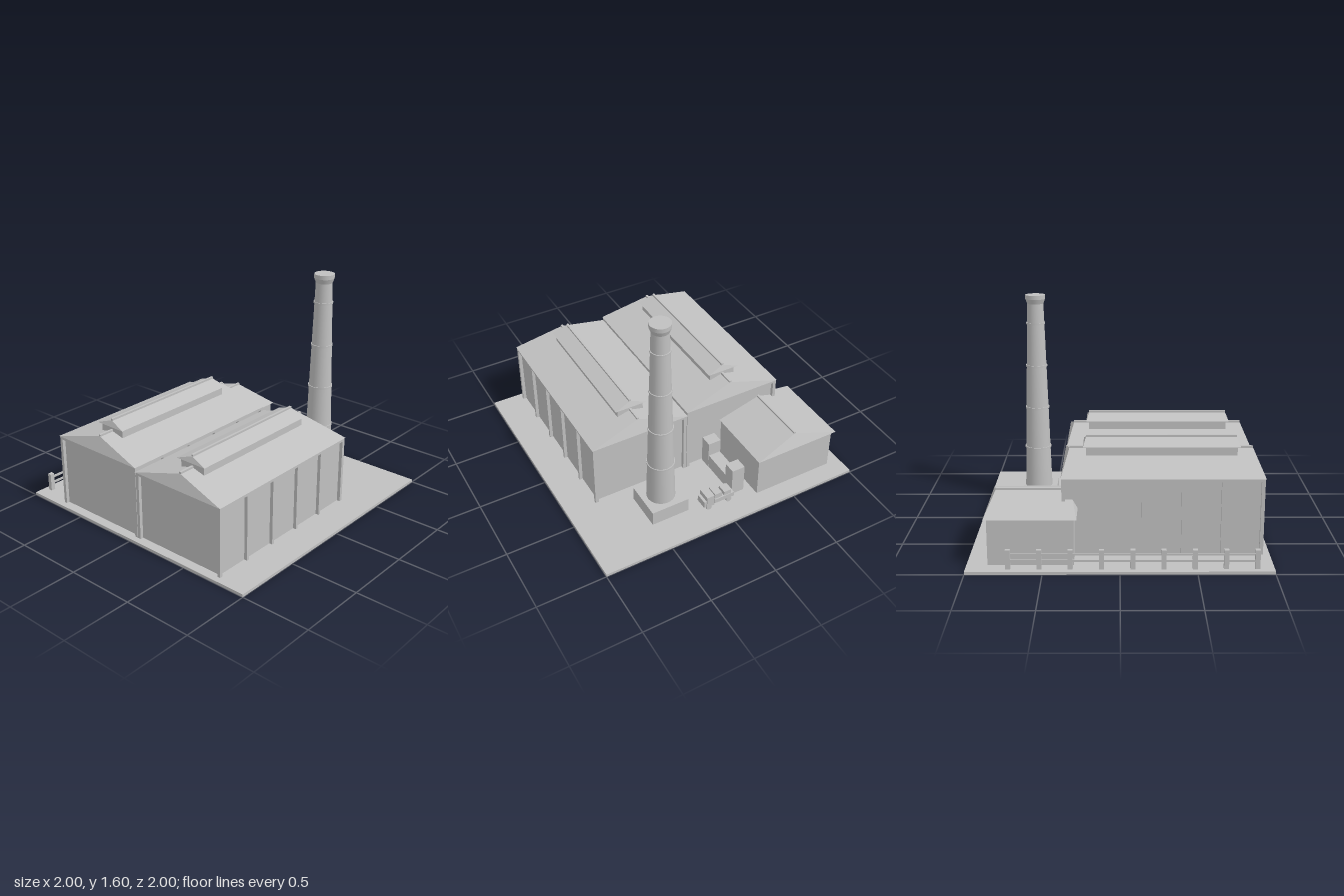
import * as THREE from 'three';

const grey = new THREE.MeshStandardMaterial({ color: 0xc0c0c0 });
grey.name = 'plain grey';

function add(parent, name, geometry) {
  const mesh = new THREE.Mesh(geometry, grey);
  mesh.name = name;
  parent.add(mesh);
  return mesh;
}

// Box given by its limits on each axis
function box(parent, name, x0, x1, y0, y1, z0, z1) {
  const mesh = add(parent, name, new THREE.BoxGeometry(x1 - x0, y1 - y0, z1 - z0));
  mesh.position.set((x0 + x1) / 2, (y0 + y1) / 2, (z0 + z1) / 2);
  return mesh;
}

// Pitched roof along x, its ridge shortened by inset at both ends, with a ridge cap
function roof(parent, name, x0, x1, z0, z1, eave, ridge, inset) {
  const zm = (z0 + z1) / 2;
  const a = [x0, eave, z1], b = [x1, eave, z1], c = [x1, eave, z0], d = [x0, eave, z0];
  const p = [x0 + inset, ridge, zm], q = [x1 - inset, ridge, zm];
  const faces = [a, b, q, a, q, p, c, d, p, c, p, q, b, c, q, d, a, p, a, d, c, a, c, b];
  const geometry = new THREE.BufferGeometry();
  geometry.setAttribute('position', new THREE.Float32BufferAttribute(faces.flat(), 3));
  geometry.computeVertexNormals();
  add(parent, name, geometry);
  box(parent, name + 'RidgeCap', p[0], q[0], ridge - 0.008, ridge + 0.012, zm - 0.008, zm + 0.008);
}

// Long hall with framed walls, pitched roof and raised roof light
function hall(name, z0, z1, eave) {
  const g = new THREE.Group();
  g.name = name;
  const x0 = -0.955, x1 = 0.385, t = 0.024, zm = (z0 + z1) / 2;
  box(g, 'walls', x0 + t, x1 - t, 0.02, eave, z0 + t, z1 - t);
  box(g, 'topBeam', x0, x1, eave - 0.022, eave, z0, z1);
  for (const z of [z0, z1 - t]) {
    for (const x of [x0, x1 - t]) box(g, 'cornerPost', x, x + t, 0.02, eave - 0.022, z, z + t);
    for (let i = 1; i < 5; i++) {
      const x = -0.943 + i * 0.263;
      box(g, 'pilaster', x - 0.01, x + 0.01, 0.02, eave - 0.022, z, z + t);
    }
  }
  roof(g, 'roof', -0.96, 0.39, z0 - 0.004, z1 + 0.004, eave, eave + 0.1, 0.043);
  box(g, 'roofLightWalls', -0.8, 0.23, eave + 0.06, eave + 0.14, zm - 0.1, zm + 0.1);
  roof(g, 'roofLightRoof', -0.82, 0.25, zm - 0.121, zm + 0.121, eave + 0.138, eave + 0.18, 0.018);
  return g;
}

function chimney() {
  const g = new THREE.Group();
  g.name = 'chimney';
  box(g, 'chimneyBase', -0.142, 0.142, 0.02, 0.13, -0.142, 0.142);
  const shaft = add(g, 'shaft', new THREE.CylinderGeometry(0.06, 0.102, 1.41, 24));
  shaft.position.y = 0.835;
  for (const y of [0.44, 0.75, 1.07, 1.39]) {
    const r = 0.102 - (y - 0.13) * 0.03 + 0.006;
    add(g, 'band', new THREE.CylinderGeometry(r, r, 0.014, 24)).position.y = y;
  }
  add(g, 'crownFlare', new THREE.CylinderGeometry(0.073, 0.06, 0.035, 24)).position.y = 1.5525;
  add(g, 'crown', new THREE.CylinderGeometry(0.073, 0.073, 0.03, 24)).position.y = 1.585;
  g.position.set(0.622, 0, 0.381);
  return g;
}

function shed() {
  const g = new THREE.Group();
  g.name = 'shed';
  box(g, 'shedWalls', 0.3, 0.862, 0.02, 0.342, -0.895, -0.272);
  roof(g, 'shedRoof', 0.28, 0.882, -0.918, -0.258, 0.34, 0.432, 0.05);
  return g;
}

// Two square piers with a low wall between
function gate() {
  const g = new THREE.Group();
  g.name = 'yardWall';
  box(g, 'leftPier', 0.69, 0.78, 0.02, 0.24, -0.21, -0.11);
  box(g, 'rightPier', 0.37, 0.46, 0.02, 0.24, -0.21, -0.11);
  box(g, 'lowWall', 0.46, 0.69, 0.02, 0.13, -0.207, -0.113);
  return g;
}

function truck() {
  const g = new THREE.Group();
  g.name = 'truck';
  box(g, 'chassis', 0.745, 0.82, 0.045, 0.062, -0.095, 0.14);
  box(g, 'hood', 0.738, 0.827, 0.05, 0.102, 0.12, 0.147);
  box(g, 'cab', 0.732, 0.833, 0.05, 0.14, 0.068, 0.127);
  box(g, 'bed', 0.732, 0.833, 0.06, 0.095, -0.095, 0.062);
  box(g, 'largeCrate', 0.74, 0.825, 0.095, 0.135, 0.003, 0.058);
  box(g, 'smallCrate', 0.755, 0.828, 0.095, 0.128, -0.07, -0.015);
  for (const x of [0.743, 0.822]) {
    for (const z of [0.108, -0.055]) {
      const wheel = add(g, 'wheel', new THREE.CylinderGeometry(0.021, 0.021, 0.02, 12));
      wheel.rotation.z = Math.PI / 2;
      wheel.position.set(x, 0.041, z);
    }
  }
  return g;
}

function fence() {
  const g = new THREE.Group();
  g.name = 'fence';
  for (let i = 0; i < 9; i++) {
    const x = -0.888 + i * 0.2015;
    box(g, 'fencePost', x - 0.016, x + 0.016, 0.02, 0.15, -0.962, -0.932);
  }
  for (const y of [0.065, 0.11]) box(g, 'fenceRail', -0.888, 0.724, y, y + 0.016, -0.951, -0.943);
  return g;
}

export function createModel() {
  const model = new THREE.Group();
  model.name = 'factory';
  box(model, 'ground', -1, 1, 0, 0.02, -1, 1);
  model.add(
    hall('frontHall', 0.036, 0.776, 0.52),
    hall('backHall', -0.724, 0.032, 0.55),
    chimney(), shed(), gate(), truck(), fence()
  );
  return model;
}
